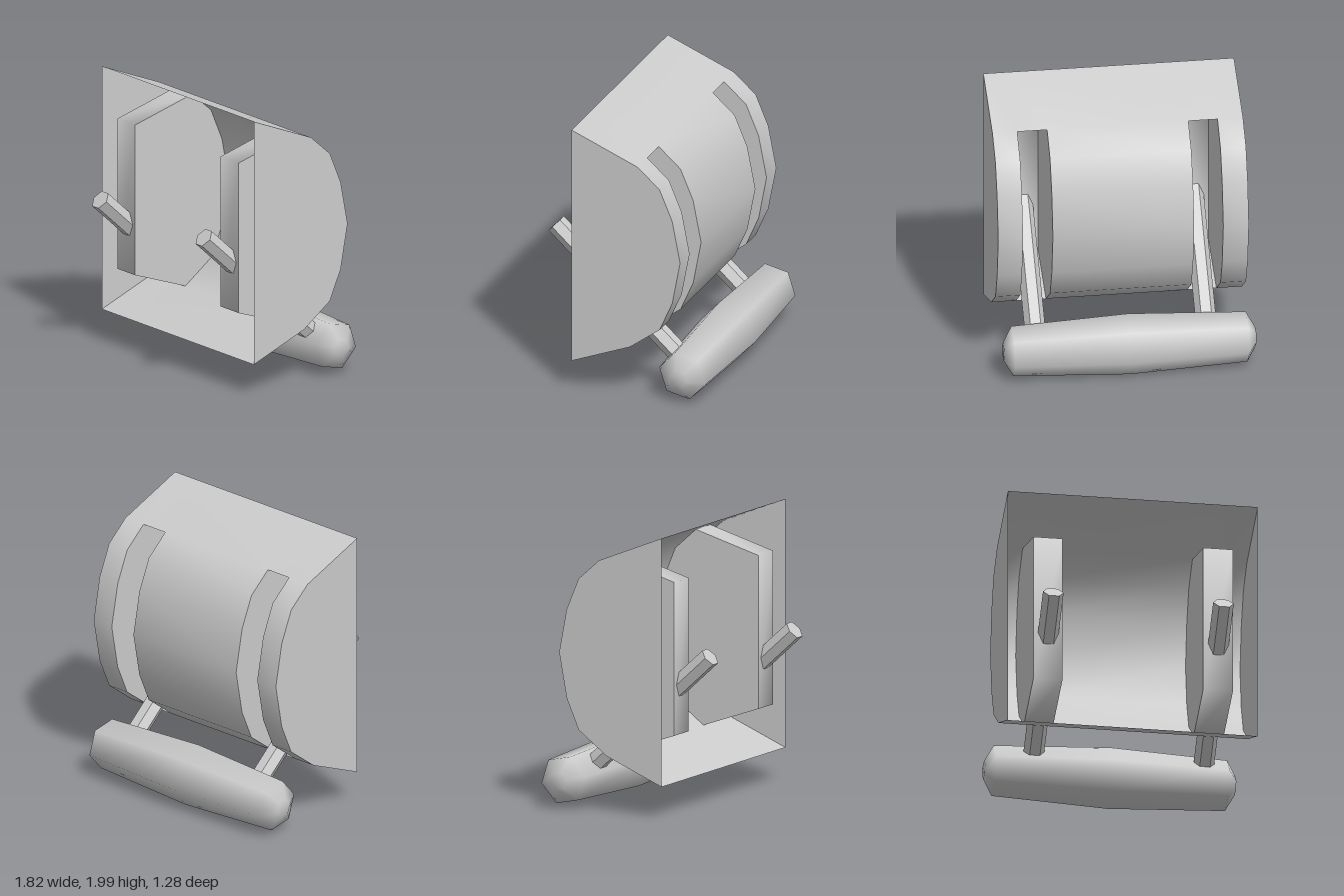
import * as THREE from 'three';

const material = new THREE.MeshStandardMaterial({ color: 0xcccccc, side: THREE.DoubleSide });

// Profiles as [z, y]: the curved shell and the floor of a slot channel
const SHELL = [[0.37, 2], [-0.13, 1.8], [-0.295, 1.655], [-0.39, 1.43], [-0.45, 1.12],
  [-0.39, 0.8], [-0.295, 0.583], [-0.07, 0.415], [0.37, 0.235]];
const FLOOR = [[-0.13, 1.8], [0.37, 1.66], [0.37, 0.57], [-0.07, 0.415]];
const SLOTS = [[-0.68, -0.475], [0.52, 0.73]];
const LEFT = 0.905, RIGHT = -0.86;

function add(parent, name, geometry) {
  const mesh = new THREE.Mesh(geometry, material);
  mesh.name = name;
  parent.add(mesh);
  return mesh;
}

// Smooth sheet sweeping a profile along x; skip(column, row) leaves holes
function sheet(profile, xs, skip = () => false) {
  const positions = [], index = [], n = profile.length;
  for (const x of xs) for (const [z, y] of profile) positions.push(x, y, z);
  for (let c = 0; c < xs.length - 1; c++) {
    for (let r = 0; r < n - 1; r++) {
      if (skip(c, r)) continue;
      const a = c * n + r, b = a + n;
      index.push(a, a + 1, b, b, a + 1, b + 1);
    }
  }
  const geometry = new THREE.BufferGeometry();
  geometry.setAttribute('position', new THREE.Float32BufferAttribute(positions, 3));
  geometry.setIndex(index);
  geometry.computeVertexNormals();
  return geometry;
}

// Flat panel in the z-y plane at a given x
function panel(points, x) {
  const shape = new THREE.Shape(points.map(([z, y]) => new THREE.Vector2(z, y)));
  return new THREE.ShapeGeometry(shape).rotateY(-Math.PI / 2).translate(x, 0, 0);
}

export function createModel() {
  const model = new THREE.Group();
  model.name = 'slottedHousing';

  // Open-fronted shell with two slots, closed by end panels
  const xs = [RIGHT, ...SLOTS.flat(), LEFT];
  const isSlot = (c, r) => c % 2 === 1 && r > 0 && r < SHELL.length - 2;
  add(model, 'shell', sheet(SHELL, xs, isSlot));
  add(model, 'rightEndPanel', panel(SHELL, RIGHT));
  add(model, 'leftEndPanel', panel(SHELL, LEFT));

  // Channels behind the slots, each with an arm through it
  const wall = [...SHELL.slice(1, -1), ...FLOOR.slice(1, -1).reverse()];
  const armFront = new THREE.Vector3(0, 1.135, 0.6);
  const armBack = new THREE.Vector3(0, 0.21, -0.42);
  const direction = armFront.clone().sub(armBack);
  for (const [x0, x1] of SLOTS) {
    const slot = new THREE.Group();
    slot.name = x0 < 0 ? 'rightSlot' : 'leftSlot';
    model.add(slot);
    add(slot, 'channelFloor', sheet(FLOOR, [x0, x1]));
    for (const x of [x0, x1]) add(slot, 'channelWall', panel(wall, x));

    const armGeometry = new THREE.CylinderGeometry(0.073, 0.073, direction.length(), 6, 1, false, Math.PI / 6)
      .rotateY(Math.PI / 3).toNonIndexed();
    armGeometry.computeVertexNormals();
    const arm = add(slot, 'arm', armGeometry);
    arm.position.copy(armFront).add(armBack).multiplyScalar(0.5);
    arm.position.x = (x0 + x1) / 2 + 0.003;
    arm.rotation.x = Math.atan2(direction.z, direction.y);
  }

  // Six-sided tapered bar joining the arms
  const barProfile = [[0, -0.91], [0.065, -0.91], [0.178, -0.847], [0.216, -0.022],
    [0.178, 0.803], [0.065, 0.866], [0, 0.866]].map(([r, x]) => new THREE.Vector2(r, x));
  const bar = add(model, 'bar', new THREE.LatheGeometry(barProfile, 6, -0.21));
  bar.rotation.z = -Math.PI / 2;
  bar.position.set(0, 0.212, -0.425);

  return model;
}
